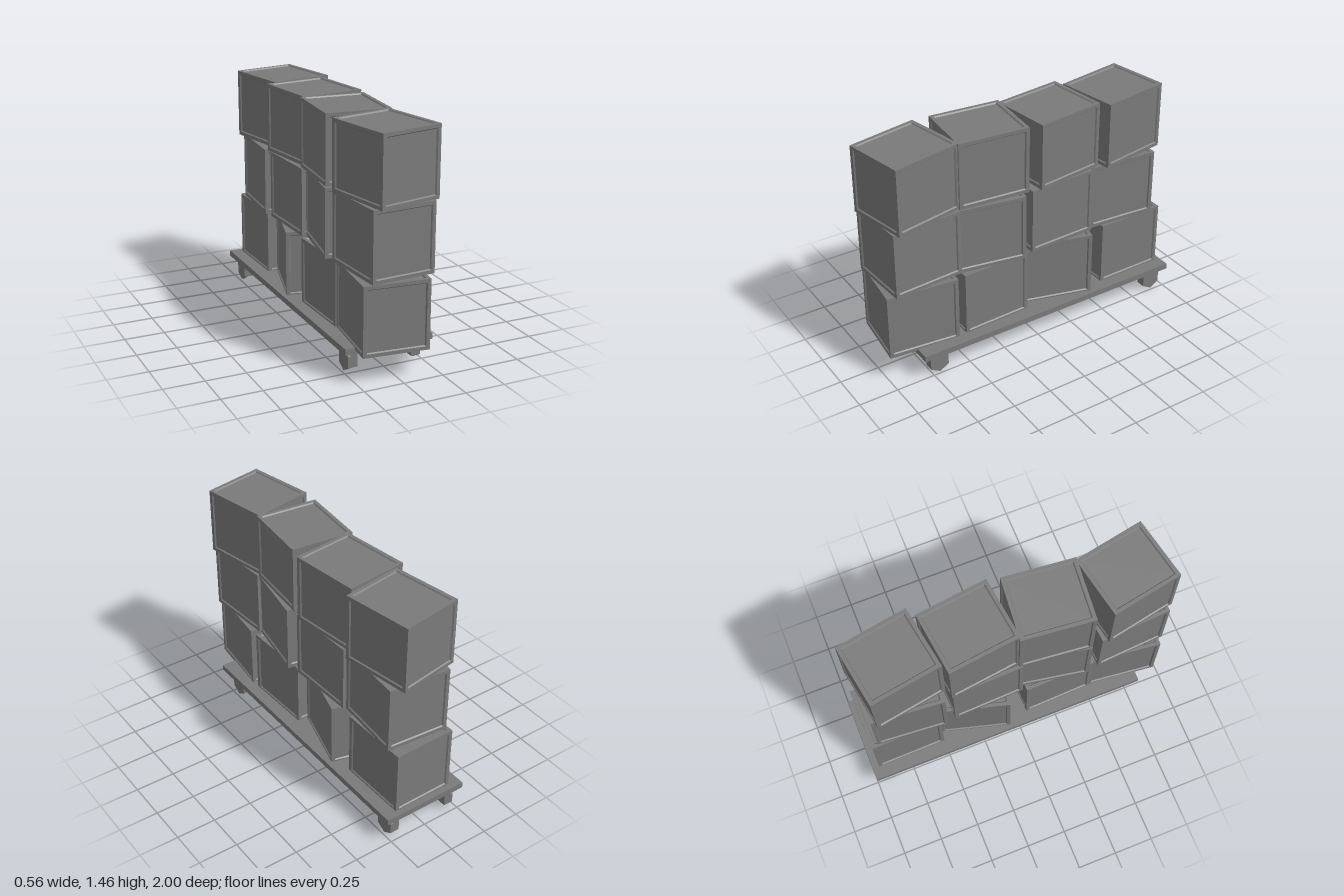
import * as THREE from 'three';

const W = 0.4, H = 0.425, L = 0.45; // crate size
const RIM = 0.022, BEVEL = 0.006, RECESS = 0.008;

const material = new THREE.MeshStandardMaterial({ color: 0x7a7a7a, flatShading: true });

// One crate side facing +z: flat rim, sloped bevel and sunken panel as nested rectangles
function crateSide(w, h, d) {
  const loops = [[0, 0], [RIM, 0], [RIM + BEVEL, RECESS]];
  const pos = [], index = [];
  for (const [inset, sink] of loops) {
    const x = w / 2 - inset, y = h / 2 - inset, z = d / 2 - sink;
    pos.push(-x, -y, z, x, -y, z, x, y, z, -x, y, z);
  }
  for (let k = 0; k < loops.length - 1; k++) {
    for (let i = 0; i < 4; i++) {
      const a = k * 4 + i, b = k * 4 + (i + 1) % 4;
      index.push(a, b, b + 4, a, b + 4, a + 4);
    }
  }
  index.push(8, 9, 10, 8, 10, 11);
  const indexed = new THREE.BufferGeometry();
  indexed.setAttribute('position', new THREE.Float32BufferAttribute(pos, 3));
  indexed.setIndex(index);
  const g = indexed.toNonIndexed();
  g.computeVertexNormals();
  return g;
}

// Six panelled sides make a crate
const Q = Math.PI / 2;
const sides = [
  ['front', crateSide(W, H, L)],
  ['back', crateSide(W, H, L).rotateY(Math.PI)],
  ['left', crateSide(L, H, W).rotateY(Q)],
  ['right', crateSide(L, H, W).rotateY(-Q)],
  ['top', crateSide(W, L, H).rotateX(-Q)],
  ['bottom', crateSide(W, L, H).rotateX(Q)],
];

function crate(x, y, z, degrees) {
  const group = new THREE.Group();
  for (const [name, geometry] of sides) {
    const mesh = new THREE.Mesh(geometry, material);
    mesh.name = name + 'Panel';
    group.add(mesh);
  }
  group.position.set(x, y + H / 2, z);
  group.rotation.y = THREE.MathUtils.degToRad(degrees);
  return group;
}

export function createModel() {
  const model = new THREE.Group();
  model.name = 'crateTrolley';

  const add = (name, geometry, x, y, z, parent = model) => {
    const mesh = new THREE.Mesh(geometry, material);
    mesh.name = name;
    mesh.position.set(x, y, z);
    parent.add(mesh);
  };

  // Trolley deck
  add('deck', new THREE.BoxGeometry(0.56, 0.038, 1.82), 0, 0.166, -0.09);

  // Castors: block bracket with a six-sided wheel on the outside, one corner down
  const bracket = new THREE.BoxGeometry(0.042, 0.112, 0.12);
  const wheel = new THREE.CylinderGeometry(0.07, 0.07, 0.021, 6).rotateY(Q).rotateZ(Q);
  for (const side of [-1, 1]) {
    for (const z of [0.7, -0.91]) {
      const castor = new THREE.Group();
      castor.name = 'castor';
      add('bracket', bracket, side * 0.194, 0.091, z, castor);
      add('wheel', wheel, side * 0.2235, 0.07, z, castor);
      model.add(castor);
    }
  }

  // Crates in three layers, back to front: x, base y, z, turn in degrees
  const layers = {
    bottomCrate: [[0, 0.172, -0.737, 1], [-0.002, 0.172, -0.237, -15.5], [0, 0.172, 0.274, 2], [-0.01, 0.172, 0.745, -6.3]],
    middleCrate: [[-0.007, 0.597, -0.68, -4.5], [0, 0.597, -0.2, 2], [0, 0.597, 0.268, -10], [-0.007, 0.607, 0.735, 3.8]],
    topCrate: [[0, 1.03, -0.7, 9.6], [0.006, 1.03, -0.228, 7.2], [-0.01, 1.03, 0.25, -5.5], [0, 1.03, 0.741, 11]],
  };
  for (const [name, row] of Object.entries(layers)) {
    for (const placement of row) {
      const c = crate(...placement);
      c.name = name;
      model.add(c);
    }
  }
  return model;
}
